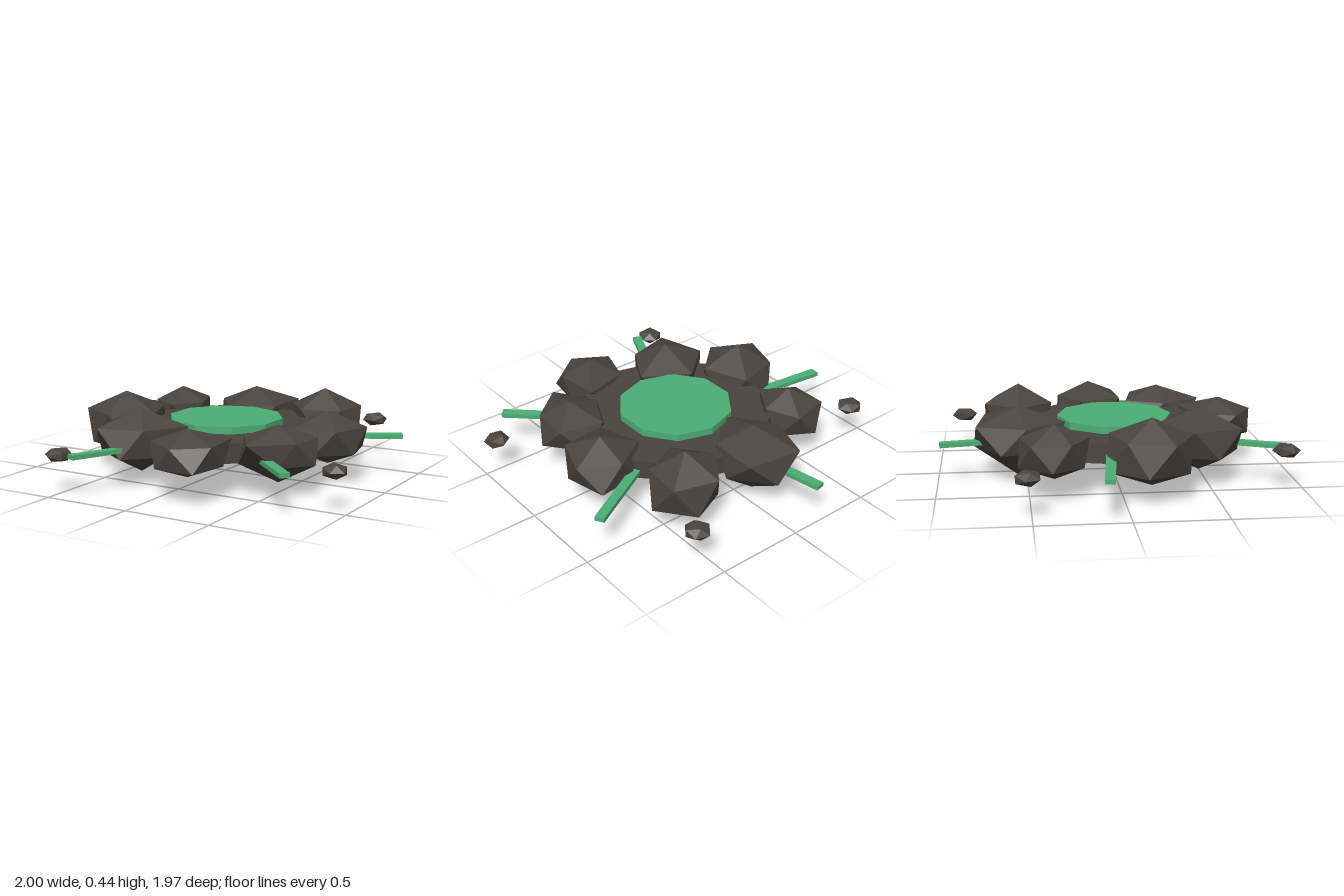
import * as THREE from 'three';

const rockMat = new THREE.MeshStandardMaterial({ color: 0x4a443f, flatShading: true });
rockMat.name = 'dark rock';
const greenMat = new THREE.MeshStandardMaterial({ color: 0x4caf74, flatShading: true });
greenMat.name = 'glowing green';

const MID = 0.245; // height of the boulders' waist

// Irregular 20-sided boulder: two poles and two staggered rings of five.
// radii holds ten outline distances, 36 degrees apart, upper and lower ring in turn.
function boulderGeometry(top, bottom, yaw, radii) {
  const ringHeight = 0.45 * (top - MID);
  const ring = radii.map((r, i) => {
    const a = THREE.MathUtils.degToRad(yaw + 36 * i);
    return [r * Math.cos(a), MID + (i % 2 ? -ringHeight : ringHeight), r * Math.sin(a)];
  });
  const at = (i) => ring[i % 10];
  const up = [0, top, 0], down = [0, bottom, 0];
  const tris = [];
  for (let i = 0; i < 10; i++) {
    if (i % 2 === 0) {
      tris.push(up, at(i + 2), at(i), at(i), at(i + 2), at(i + 1));
    } else {
      tris.push(down, at(i), at(i + 2), at(i), at(i + 1), at(i + 2));
    }
  }
  const geo = new THREE.BufferGeometry();
  geo.setAttribute('position', new THREE.Float32BufferAttribute(tris.flat(), 3));
  geo.computeVertexNormals();
  return geo;
}

export function createModel() {
  const model = new THREE.Group();
  model.name = 'rockRing';
  const add = (name, geo, mat, x, y, z) => {
    const mesh = new THREE.Mesh(geo, mat);
    mesh.name = name;
    mesh.position.set(x, y, z);
    model.add(mesh);
    return mesh;
  };

  // Base slab and the green pool on it
  add('baseSlab', new THREE.CylinderGeometry(0.56, 0.56, 0.11, 12), rockMat, 0.01, 0.23, 0.01);
  add('greenPool', new THREE.CylinderGeometry(0.33, 0.33, 0.045, 10), greenMat, 0.01, 0.303, 0.01);

  // Boulders around the rim
  const boulder = (name, x, z, top, bottom, yaw, radii) =>
    add(name, boulderGeometry(top, bottom, yaw, radii), rockMat, x, 0, z);
  boulder('backBoulder', -0.095, -0.54, 0.41, 0, -45,
    [0.276, 0.22, 0.21, 0.21, 0.263, 0.23, 0.22, 0.235, 0.273, 0.26]);
  boulder('backLeftBoulder', 0.38, -0.53, 0.44, 0.07, -36,
    [0.22, 0.22, 0.19, 0.17, 0.205, 0.19, 0.214, 0.18, 0.213, 0.21]);
  boulder('leftBoulder', 0.61, -0.09, 0.4, 0.1, -20,
    [0.22, 0.19, 0.204, 0.2, 0.22, 0.21, 0.22, 0.21, 0.19, 0.23]);
  boulder('frontLeftBoulder', 0.525, 0.33, 0.385, 0.07, -42,
    [0.22, 0.21, 0.17, 0.16, 0.257, 0.22, 0.2, 0.22, 0.22, 0.23]);
  boulder('frontBoulder', 0.155, 0.65, 0.38, 0.12, -57,
    [0.26, 0.19, 0.18, 0.225, 0.19, 0.19, 0.2, 0.19, 0.19, 0.2]);
  boulder('frontRightBoulder', -0.27, 0.46, 0.42, 0.06, -20,
    [0.268, 0.19, 0.19, 0.22, 0.26, 0.23, 0.235, 0.22, 0.25, 0.22]);
  boulder('rightBoulder', -0.59, 0.15, 0.44, 0.07, -61,
    [0.25, 0.23, 0.23, 0.21, 0.225, 0.22, 0.235, 0.21, 0.2, 0.25]);
  boulder('backRightBoulder', -0.525, -0.365, 0.4, 0.1, 6,
    [0.161, 0.16, 0.198, 0.17, 0.165, 0.172, 0.195, 0.2, 0.2, 0.17]);

  // Flat green rays running out between the boulders: [outer x, outer z, inner x, inner z]
  const rays = [
    [-0.18, -0.985, -0.085, -0.45],
    [0.9, -0.48, 0.4, -0.2],
    [0.755, 0.695, 0.34, 0.31],
    [-0.405, 0.925, -0.2, 0.48],
    [-1, -0.115, -0.48, -0.055],
  ];
  for (const [ox, oz, ix, iz] of rays) {
    const length = Math.hypot(ox - ix, oz - iz);
    const ray = add('greenRay', new THREE.BoxGeometry(0.055, 0.025, length), greenMat,
      (ox + ix) / 2, 0.215, (oz + iz) / 2);
    ray.rotation.y = Math.atan2(ox - ix, oz - iz);
  }

  // Loose pebbles: [x, z, radius, turn]
  const pebbles = [
    [-0.885, -0.52, 0.078, 0.4],
    [0.565, -0.86, 0.077, 1.3],
    [0.925, 0.48, 0.073, 2.2],
    [-0.495, 0.905, 0.08, 0.9],
  ];
  for (const [x, z, r, turn] of pebbles) {
    const pebble = add('pebble', new THREE.IcosahedronGeometry(1, 0), rockMat, x, 0.215, z);
    pebble.scale.set(r, 0.042, r);
    pebble.rotation.y = turn;
  }
  return model;
}
